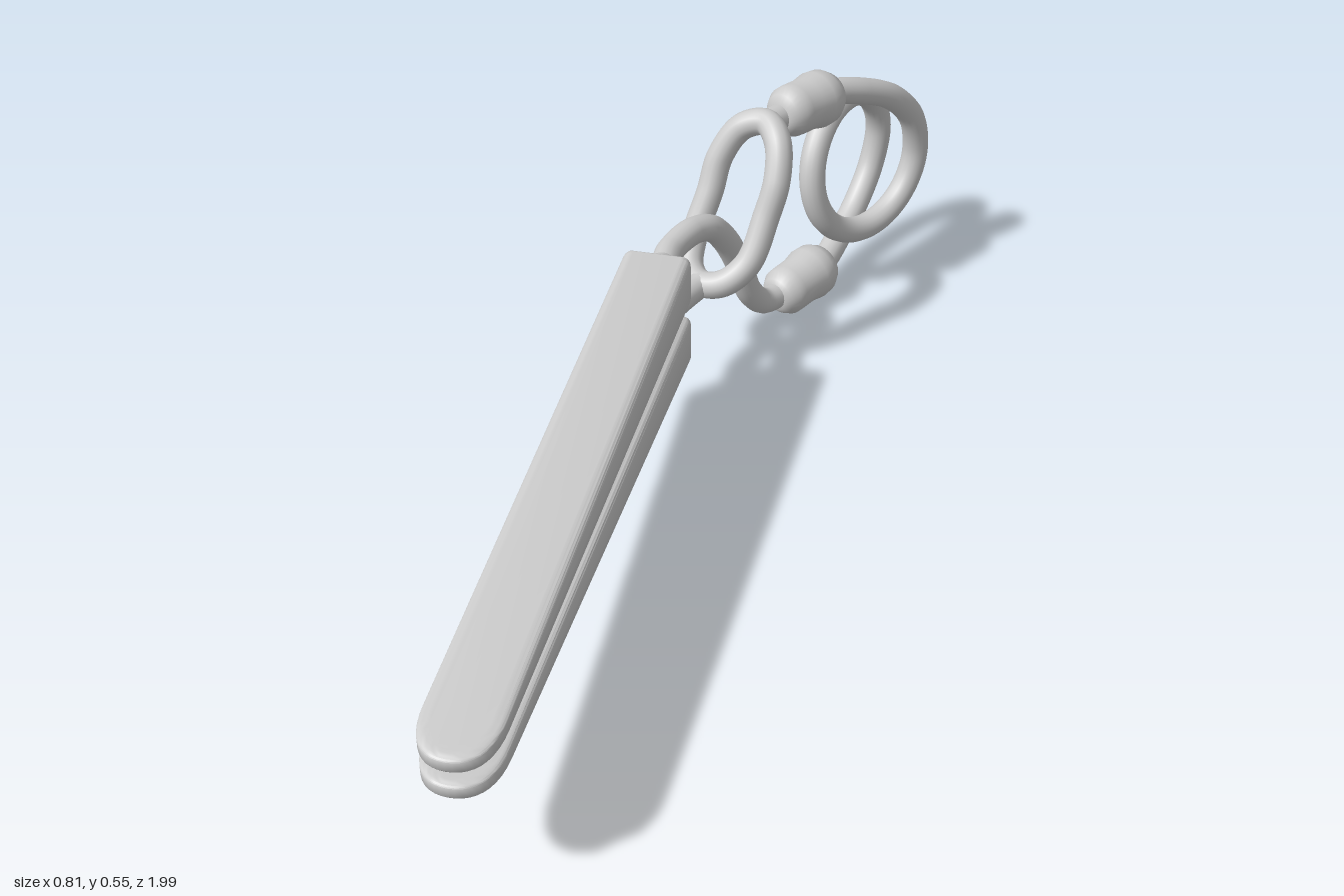
import * as THREE from 'three';
import { toCreasedNormals } from 'three/addons/utils/BufferGeometryUtils.js';

const X0 = -0.316;   // plane of the wire frame
const MID = 0.278;   // height of the mirror plane
const WIRE = 0.028;
const material = new THREE.MeshStandardMaterial({ color: 0xcccccc });

function add(parent, name, geometry) {
  const mesh = new THREE.Mesh(geometry, material);
  mesh.name = name;
  parent.add(mesh);
  return mesh;
}

// Points are [offset from X0, y, z]
function wire(points, segments, closed = false) {
  const path = points.map(([x, y, z]) => new THREE.Vector3(X0 + x, y, z));
  const curve = new THREE.CatmullRomCurve3(path, closed, 'centripetal');
  return new THREE.TubeGeometry(curve, segments, WIRE, 16, closed);
}

const flip = ([x, y, z]) => [x, 2 * MID - y, z];

// Tapered blade: flat inner face at y = 0, running along +z
function bladeGeometry() {
  const L = 1.28, W = 0.067, H = 0.112, bevel = 0.02, c = 0.02;
  const s = new THREE.Shape();
  s.moveTo(-W + c, 0);
  s.lineTo(W - c, 0);
  s.quadraticCurveTo(W, 0, W, c);
  s.lineTo(W, L - 0.1);
  s.bezierCurveTo(W, L - 0.03, W * 0.6, L, 0, L);
  s.bezierCurveTo(-W * 0.6, L, -W, L - 0.03, -W, L - 0.1);
  s.lineTo(-W, c);
  s.quadraticCurveTo(-W, 0, -W + c, 0);
  const g = new THREE.ExtrudeGeometry(s, {
    depth: H - 2 * bevel, bevelThickness: bevel, bevelSize: bevel,
    bevelOffset: -bevel, bevelSegments: 5, curveSegments: 10,
  });
  g.rotateX(Math.PI / 2);
  g.translate(0, H - bevel, 0);
  const p = g.attributes.position;
  for (let i = 0; i < p.count; i++) {
    p.setY(i, p.getY(i) * (1 - 0.74 * p.getZ(i) / L));
  }
  return toCreasedNormals(g, 0.6);
}

export function createModel() {
  const model = new THREE.Group();
  model.name = 'springClip';

  // Two blades, turned away from the wire frame
  const blades = new THREE.Group();
  blades.name = 'blades';
  blades.position.set(-0.258, MID + 0.002, -0.14);
  blades.rotation.y = Math.atan2(0.62, 1.125);
  model.add(blades);
  const blade = bladeGeometry();
  const neck = new THREE.CylinderGeometry(0.045, WIRE, 0.05, 20);
  neck.rotateX(Math.PI / 2);
  for (const side of [1, -1]) {
    const half = new THREE.Group();
    half.name = side > 0 ? 'upperBlade' : 'lowerBlade';
    half.rotation.z = side > 0 ? 0 : Math.PI;
    blades.add(half);
    add(half, 'bladeBody', blade).position.y = 0.013;
    add(half, 'bladeNeck', neck).position.set(0, 0.069, -0.01);
  }

  // Upper blade's wire crosses down through the loop to the lower collar
  const shank = [
    [0.07, 0.348, -0.12], [0.05, 0.348, -0.16], [0.015, 0.348, -0.22],
    [0, 0.348, -0.3],
  ];
  add(model, 'crossingWire', wire([
    ...shank, [0, 0.331, -0.352], [0, 0.286, -0.395], [0, 0.206, -0.44],
    [0, 0.115, -0.478], [0, 0.068, -0.525], [0, 0.06, -0.6],
  ], 80));

  // Lower blade's wire widens into a loop that rises to the upper collar
  add(model, 'loopStem', wire([...shank, [0, 0.345, -0.325]].map(flip), 40));
  const loopSide = [
    [0.045, 0.222, -0.342], [0.074, 0.262, -0.385], [0.076, 0.35, -0.437],
    [0.076, 0.42, -0.468], [0.048, 0.483, -0.502],
  ];
  add(model, 'loop', wire([
    [0, 0.211, -0.325], ...loopSide, [0, 0.503, -0.522],
    ...loopSide.map(([x, y, z]) => [-x, y, z]).reverse(),
  ], 120, true));
  add(model, 'loopTail', wire([[0, 0.5, -0.515], [0, 0.497, -0.6]], 4));

  // Collars joining the frame to the spring
  const profile = [
    [0, -0.092], [0.028, -0.092], [0.046, -0.082], [0.058, -0.06], [0.06, -0.035],
    [0.054, -0.005], [0.054, 0.03], [0.053, 0.05], [0.042, 0.068],
    [0.028, 0.08], [0, 0.08],
  ].map(([r, y]) => new THREE.Vector2(r, y));
  const collar = new THREE.LatheGeometry(profile, 28);
  collar.rotateX(Math.PI / 2);
  for (const side of [1, -1]) {
    const m = add(model, side > 0 ? 'upperCollar' : 'lowerCollar', collar);
    m.position.set(X0, MID + side * 0.217, -0.64);
    m.rotation.x = side * -0.08;
  }

  // Spring: one coil between two arms that sweep round the back
  const arm = [
    [0, 0.498, -0.64], [0.004, 0.492, -0.725], [0.024, 0.47, -0.805],
    [0.042, 0.43, -0.885], [0.052, 0.36, -0.948],
  ];
  const coil = [];
  for (let i = 0; i <= 16; i++) {
    const a = i / 16 * Math.PI * 2;
    coil.push([
      0.052 * Math.cos(a / 2), MID - 0.145 * Math.sin(a),
      -0.825 - 0.145 * Math.cos(a),
    ]);
  }
  const lowerArm = arm.map(flip).map(([x, y, z]) => [-x, y, z]).reverse();
  add(model, 'spring', wire([...arm, ...coil, ...lowerArm], 200));

  return model;
}
